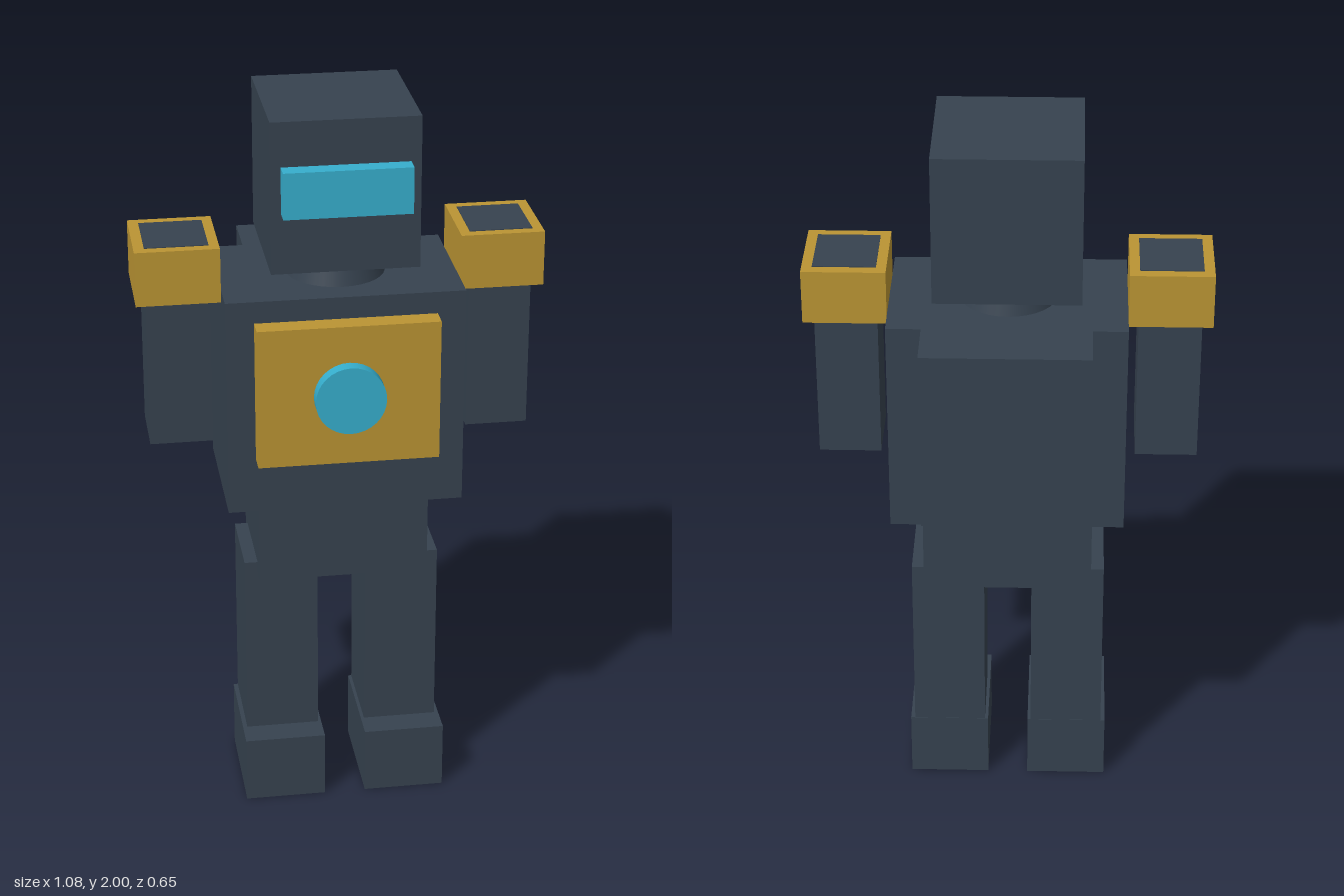
import * as THREE from 'three';

export function createModel() {
  const robot = new THREE.Group();
  robot.name = 'robot';

  const material = (name, color) => {
    const m = new THREE.MeshStandardMaterial({ color });
    m.name = name;
    return m;
  };
  const slate = material('slate', 0x36424f);
  const gold = material('gold', 0xba9433);
  const cyan = material('cyan', 0x36aecd);

  // Box given by its extents along each axis
  const box = (name, mat, [x0, x1], [y0, y1], [z0, z1]) => {
    const mesh = new THREE.Mesh(new THREE.BoxGeometry(x1 - x0, y1 - y0, z1 - z0), mat);
    mesh.position.set((x0 + x1) / 2, (y0 + y1) / 2, (z0 + z1) / 2);
    mesh.name = name;
    robot.add(mesh);
  };
  // Box centred on x = 0
  const midBox = (name, mat, half, y, z) => box(name, mat, [-half, half], y, z);
  // Mirrored pair of boxes
  const pair = (name, mat, [x0, x1], y, z) => {
    box('left' + name, mat, [x0, x1], y, z);
    box('right' + name, mat, [-x1, -x0], y, z);
  };

  // Head and visor
  midBox('head', slate, 0.195, [1.59, 2.0], [-0.167, 0.223]);
  midBox('visor', cyan, 0.168, [1.755, 1.88], [0.2, 0.27]);

  // Tapered neck
  const neck = new THREE.Mesh(new THREE.CylinderGeometry(0.106, 0.142, 0.13, 32), slate);
  neck.position.set(0, 1.55, 0.028);
  neck.name = 'neck';
  robot.add(neck);

  // Body
  midBox('torso', slate, 0.317, [0.915, 1.52], [-0.178, 0.231]);
  midBox('backpack', slate, 0.224, [1.01, 1.52], [-0.33, -0.17]);
  midBox('pelvis', slate, 0.232, [0.68, 0.93], [-0.133, 0.19]);
  midBox('chestPlate', gold, 0.242, [1.07, 1.46], [0.2, 0.288]);

  // Round chest core
  const core = new THREE.Mesh(new THREE.CylinderGeometry(0.094, 0.094, 0.075, 32), cyan);
  core.rotation.x = Math.PI / 2;
  core.position.set(0, 1.265, 0.2875);
  core.name = 'chestCore';
  robot.add(core);

  // Arms, their tops just showing through the shoulders
  pair('Shoulder', gold, [0.318, 0.541], [1.49, 1.64], [-0.095, 0.148]);
  pair('Arm', slate, [0.345, 0.513], [1.08, 1.642], [-0.065, 0.12]);

  // Legs and feet
  pair('Leg', slate, [0.066, 0.268], [0.18, 0.715], [-0.089, 0.148]);
  pair('Foot', slate, [0.057, 0.28], [0, 0.19], [-0.09, 0.225]);

  return robot;
}
